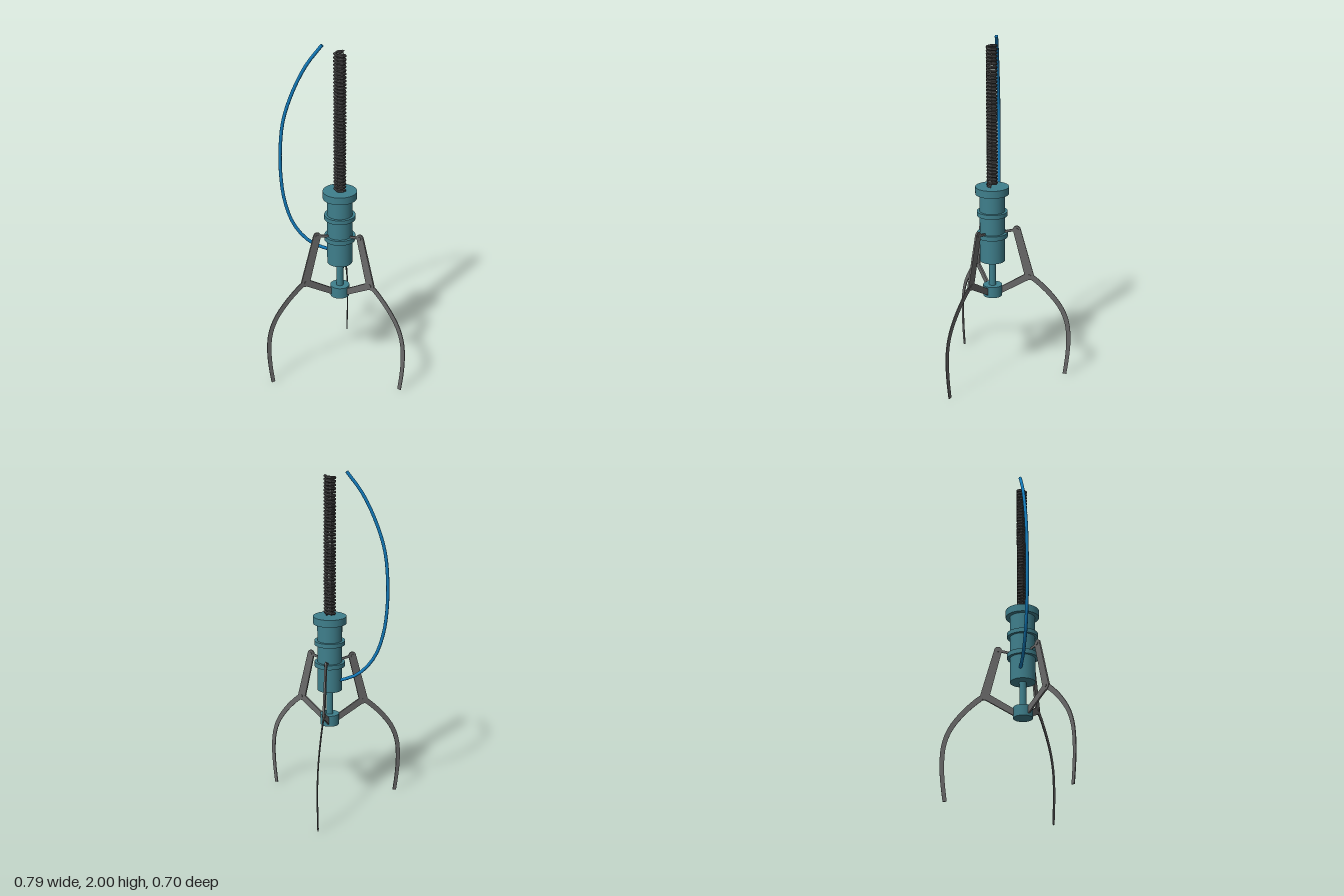
import * as THREE from 'three';

const V2 = (x, y) => new THREE.Vector2(x, y);
const V3 = (x, y, z) => new THREE.Vector3(x, y, z);
const paint = (color, flatShading = false) => new THREE.MeshStandardMaterial({ color, flatShading });

const teal = paint(0x3f7f8c);
const steel = paint(0x6a6a6a, true);
const dark = paint(0x444444, true);
const blue = paint(0x1279b8);

function add(group, name, geometry, material) {
  const mesh = new THREE.Mesh(geometry, material);
  mesh.name = name;
  group.add(mesh);
  return mesh;
}

// Flat plate of the given thickness, centred on z = 0
function plate(shape, thickness) {
  const g = new THREE.ExtrudeGeometry(shape, { depth: thickness, bevelEnabled: false, curveSegments: 8 });
  return g.translate(0, 0, -thickness / 2);
}

// Bar with rounded ends between two points, with its own radius at each end
function bar(a, b, ra, rb, thickness) {
  const t = Math.atan2(b.y - a.y, b.x - a.x);
  const shape = new THREE.Shape();
  shape.absarc(a.x, a.y, ra, t + Math.PI / 2, t + Math.PI * 1.5, false);
  shape.absarc(b.x, b.y, rb, t - Math.PI / 2, t + Math.PI / 2, false);
  return plate(shape, thickness);
}

// Blade that follows a curve, tapering from half width w0 to w1
function blade(points, w0, w1, thickness) {
  const curve = new THREE.SplineCurve(points);
  const left = [], right = [], n = 20;
  for (let i = 0; i <= n; i++) {
    const p = curve.getPoint(i / n), d = curve.getTangent(i / n);
    const w = w0 + (w1 - w0) * i / n;
    left.push(V2(p.x - d.y * w, p.y + d.x * w));
    right.unshift(V2(p.x + d.y * w, p.y - d.x * w));
  }
  return plate(new THREE.Shape([...left, ...right]), thickness);
}

// Turned solid with crisp steps: each step is [radius, bottom, top]
function turned(steps) {
  const pts = [V2(0, steps[0][1])];
  for (const [r, y0, y1] of steps) {
    pts.push(V2(r, y0), V2(r, y0), V2(r, y1), V2(r, y1));
  }
  pts.push(V2(0, steps.at(-1)[2]));
  // Split each segment into its own lathe-like band so the edges stay sharp
  const group = new THREE.Group();
  for (let i = 0; i < pts.length - 1; i++) {
    if (pts[i].distanceTo(pts[i + 1]) < 1e-6) continue;
    add(group, 'bodyBand', new THREE.LatheGeometry([pts[i], pts[i + 1]], 40), teal);
  }
  return group;
}

// Finger with its linkage, built in the x-y plane with x pointing outward
function makeFinger() {
  const finger = new THREE.Group();
  finger.name = 'finger';
  const top = V2(0.14, 0.9), knee = V2(0.213, 0.62);
  add(finger, 'bracket', bar(V2(0.06, 0.885), top, 0.006, 0.008, 0.006), steel);
  add(finger, 'upperLink', bar(top, knee, 0.022, 0.026, 0.01), steel);
  add(finger, 'lowerLink', bar(V2(0.045, 0.525), knee, 0.018, 0.02, 0.01), steel);
  add(finger, 'fingerBlade', blade([
    knee, V2(0.26, 0.585), V2(0.335, 0.51), V2(0.4, 0.42), V2(0.435, 0.325),
    V2(0.444, 0.22), V2(0.438, 0.11), V2(0.424, 0.004),
  ], 0.016, 0.011, 0.005), steel);
  for (const [p, r] of [[top, 0.01], [knee, 0.009]]) {
    const pin = add(finger, 'pivotPin', new THREE.CylinderGeometry(r, r, 0.017, 12), steel);
    pin.rotation.x = Math.PI / 2;
    pin.position.set(p.x, p.y, 0);
  }
  return finger;
}

export function createModel() {
  const model = new THREE.Group();
  model.name = 'gripper';
  const tool = new THREE.Group();
  tool.name = 'toolAssembly';
  tool.position.set(0.003, 0, 0.107);
  model.add(tool);

  // Cylinder body, collars, piston and hub on one axis
  const body = turned([
    [0.055, 0.495, 0.56], [0.02, 0.56, 0.71], [0.072, 0.71, 0.855], [0.088, 0.855, 0.882],
    [0.072, 0.882, 0.985], [0.088, 0.985, 1.01], [0.072, 1.01, 1.112], [0.096, 1.112, 1.155],
  ]);
  body.name = 'body';
  tool.add(body);

  // Coiled conduit above the body
  const turns = 40, perTurn = 6, coil = [];
  for (let i = 0; i <= turns * perTurn; i++) {
    const a = i / perTurn * Math.PI * 2;
    coil.push(V3(0.027 * Math.cos(a), 1.16 + 0.802 * i / (turns * perTurn), 0.027 * Math.sin(a)));
  }
  const path = new THREE.CurvePath();
  for (let i = 0; i < coil.length - 1; i++) path.add(new THREE.LineCurve3(coil[i], coil[i + 1]));
  add(tool, 'coil', new THREE.TubeGeometry(path, turns * perTurn, 0.0095, 6), dark);

  // Three fingers, evenly spaced
  for (let i = 0; i < 3; i++) {
    const finger = makeFinger();
    finger.rotation.y = -(32 + 120 * i) * Math.PI / 180;
    tool.add(finger);
  }

  // Air hose curving up from the side of the body
  const hosePoints = [
    [-0.05, 0.772], [-0.14, 0.803], [-0.203, 0.85], [-0.267, 0.94], [-0.309, 1.07], [-0.326, 1.195],
    [-0.329, 1.365], [-0.31, 1.55], [-0.256, 1.72], [-0.18, 1.875], [-0.093, 1.992],
  ].map(([x, y]) => V3(x, y, 0.085));
  const hose = new THREE.CatmullRomCurve3(hosePoints);
  add(model, 'hose', new THREE.TubeGeometry(hose, 28, 0.0095, 12), blue);
  for (const [t, s] of [[0, -1], [1, 1]]) {
    const cap = add(model, 'hoseEnd', new THREE.CircleGeometry(0.0095, 12), blue);
    cap.position.copy(hose.getPoint(t));
    cap.lookAt(cap.position.clone().addScaledVector(hose.getTangent(t), s));
  }
  return model;
}
